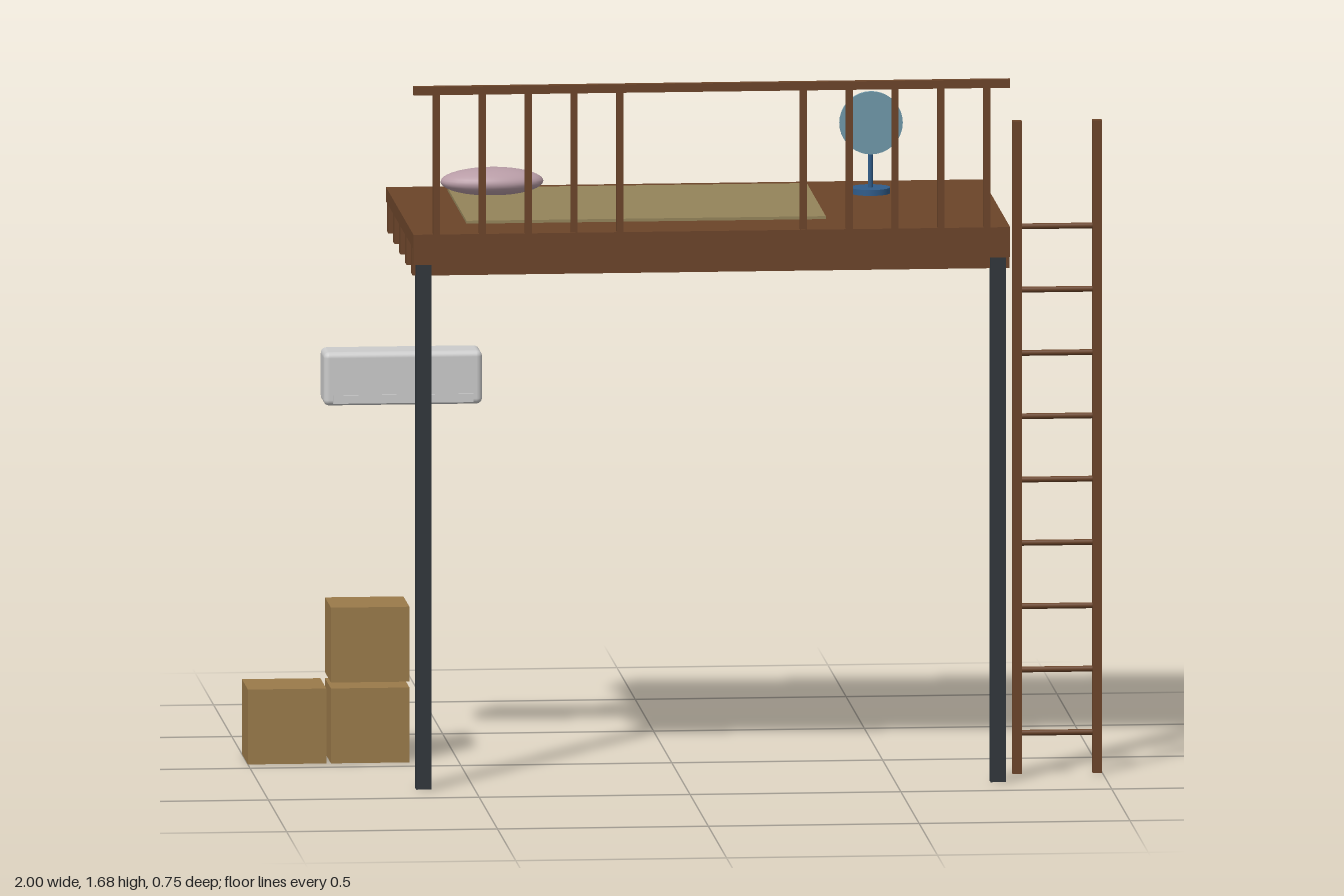
import * as THREE from 'three';
import { RoundedBoxGeometry } from 'three/addons/geometries/RoundedBoxGeometry.js';

const mat = (color) => new THREE.MeshStandardMaterial({ color });
const WOOD = mat(0x6b4429), STEEL = mat(0x30363b), CARD = mat(0x9a7a4a), CLOTH = mat(0x94845a);
const PINK = mat(0xb89ca6), BLUE = mat(0x2f5c8a), PALE = mat(0x6f98aa), GREY = mat(0xcccccc);

export function createModel() {
  const model = new THREE.Group();

  const add = (parent, name, geometry, material, x, y, z) => {
    const mesh = new THREE.Mesh(geometry, material);
    mesh.name = name;
    mesh.position.set(x, y, z);
    parent.add(mesh);
    return mesh;
  };
  // Box given by its extents along each axis
  const block = (parent, name, material, [x0, x1], [y0, y1], [z0, z1]) =>
    add(parent, name, new THREE.BoxGeometry(x1 - x0, y1 - y0, z1 - z0), material,
      (x0 + x1) / 2, (y0 + y1) / 2, (z0 + z1) / 2);
  const group = (name) => {
    const g = new THREE.Group();
    g.name = name;
    model.add(g);
    return g;
  };

  // Raised deck with joists underneath and a front fascia
  const span = [-0.645, 0.77];
  const platform = group('platform');
  block(platform, 'deck', WOOD, span, [1.293, 1.327], [-0.378, 0.372]);
  block(platform, 'fascia', WOOD, span, [1.255, 1.327], [0.358, 0.375]);
  for (let i = 0; i < 5; i++) {
    const z = -0.332 + i * 0.166;
    block(platform, 'joist', WOOD, span, [1.226, 1.294], [z - 0.021, z + 0.021]);
  }

  // Two front posts
  for (const x of [-0.62, 0.742])
    block(model, 'post', STEEL, [x - 0.018, x + 0.018], [0, 1.255], [0.334, 0.37]);

  // Railing: two sets of five balusters and a top rail
  const railing = group('railing');
  block(railing, 'topRail', WOOD, span, [1.66, 1.68], [0.357, 0.375]);
  for (const start of [-0.59, 0.28])
    for (let i = 0; i < 5; i++) {
      const x = start + i * 0.1088;
      block(railing, 'baluster', WOOD, [x - 0.008, x + 0.008], [1.32, 1.665], [0.358, 0.374]);
    }

  // Ladder
  const ladder = group('ladder');
  for (const x of [0.798, 0.988])
    block(ladder, 'ladderRail', WOOD, [x - 0.011, x + 0.011], [0, 1.56], [0.226, 0.248]);
  for (let i = 0; i < 9; i++) {
    const rung = add(ladder, 'rung', new THREE.CylinderGeometry(0.007, 0.007, 0.19, 10), WOOD,
      0.893, 0.097 + i * 0.1513, 0.237);
    rung.rotation.z = Math.PI / 2;
  }

  // Bedding
  block(model, 'mattress', CLOTH, [-0.505, 0.347], [1.322, 1.334], [-0.31, 0.212]);
  add(model, 'pillow', new THREE.SphereGeometry(1, 32, 20), PINK, -0.408, 1.363, -0.214)
    .scale.set(0.122, 0.033, 0.065);

  // Desk fan: base, stem and upright disc
  const fan = group('fan');
  add(fan, 'fanBase', new THREE.CylinderGeometry(0.047, 0.047, 0.014, 32), BLUE, 0.487, 1.334, -0.187);
  add(fan, 'fanStem', new THREE.CylinderGeometry(0.006, 0.006, 0.14, 12), BLUE, 0.487, 1.41, -0.187);
  add(fan, 'fanHead', new THREE.CylinderGeometry(0.075, 0.075, 0.01, 36), PALE, 0.487, 1.498, -0.167)
    .rotation.x = Math.PI / 2;

  // Air conditioner with outlet strip
  const cooler = group('airConditioner');
  add(cooler, 'coolerBody', new RoundedBoxGeometry(0.376, 0.128, 0.102, 3, 0.014), GREY, -0.623, 0.902, -0.212);
  block(cooler, 'coolerVent', GREY, [-0.789, -0.457], [0.844, 0.864], [-0.175, -0.158]);

  // Stack of cartons
  const cartons = group('cartons');
  for (const [x, y] of [[-1, 0], [-0.803, 0], [-0.803, 0.193]])
    block(cartons, 'carton', CARD, [x, x + 0.186], [y, y + 0.179], [-0.224, -0.06]);

  return model;
}
